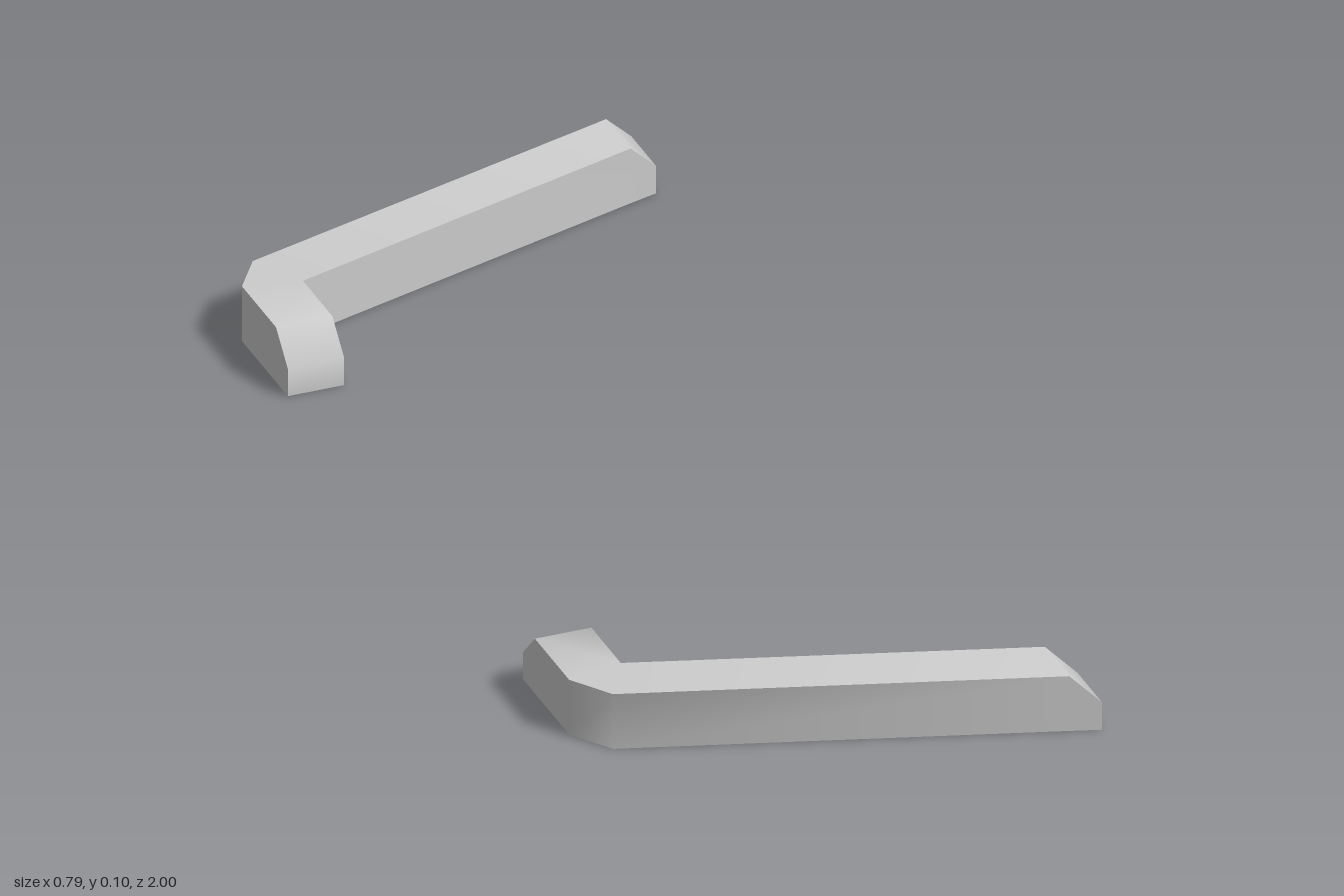
import * as THREE from 'three';
import { toCreasedNormals } from 'three/addons/utils/BufferGeometryUtils.js';

// Stations along the bent rail: inner x, z, outer x, z, top height
const STATIONS = [
  [-0.3, 0.5, -0.397, 0.5, 0.05],
  [-0.3, 0.55, -0.397, 0.55, 0.1],
  [-0.3, 0.675, -0.397, 0.695, 0.1],
  [-0.3, 0.675, -0.35, 0.765, 0.1],
  [0.347, 0.88, 0.347, 0.984, 0.1],
  [0.397, 0.895, 0.397, 1.0, 0.05],
];

// Sweeps a four-cornered section through the stations; side = -1 mirrors in z
function railGeometry(side) {
  const rings = STATIONS.map(([ix, iz, ox, oz, h]) => [
    new THREE.Vector3(ix, 0, iz * side),
    new THREE.Vector3(ox, 0, oz * side),
    new THREE.Vector3(ox, h, oz * side),
    new THREE.Vector3(ix, h, iz * side),
  ]);
  const positions = [];
  const triangle = (a, b, c) => {
    if (a.equals(b) || b.equals(c) || a.equals(c)) return;
    for (const p of side > 0 ? [a, b, c] : [a, c, b]) positions.push(p.x, p.y, p.z);
  };
  const quad = (a, b, c, d) => {
    triangle(a, b, c);
    triangle(a, c, d);
  };

  for (let i = 0; i < rings.length - 1; i++) {
    for (let k = 0; k < 4; k++) {
      const n = (k + 1) % 4;
      quad(rings[i][k], rings[i + 1][k], rings[i + 1][n], rings[i][n]);
    }
  }
  // End caps
  quad(...rings[0]);
  quad(...[...rings[rings.length - 1]].reverse());

  const geometry = new THREE.BufferGeometry();
  geometry.setAttribute('position', new THREE.Float32BufferAttribute(positions, 3));
  return toCreasedNormals(geometry, THREE.MathUtils.degToRad(55));
}

export function createModel() {
  const group = new THREE.Group();
  group.name = 'angledRails';
  const grey = new THREE.MeshStandardMaterial({ color: 0xcccccc });
  grey.name = 'light grey';

  // Front and back rails mirror each other
  for (const [name, side] of [['frontRail', 1], ['backRail', -1]]) {
    const rail = new THREE.Mesh(railGeometry(side), grey);
    rail.name = name;
    group.add(rail);
  }
  return group;
}
